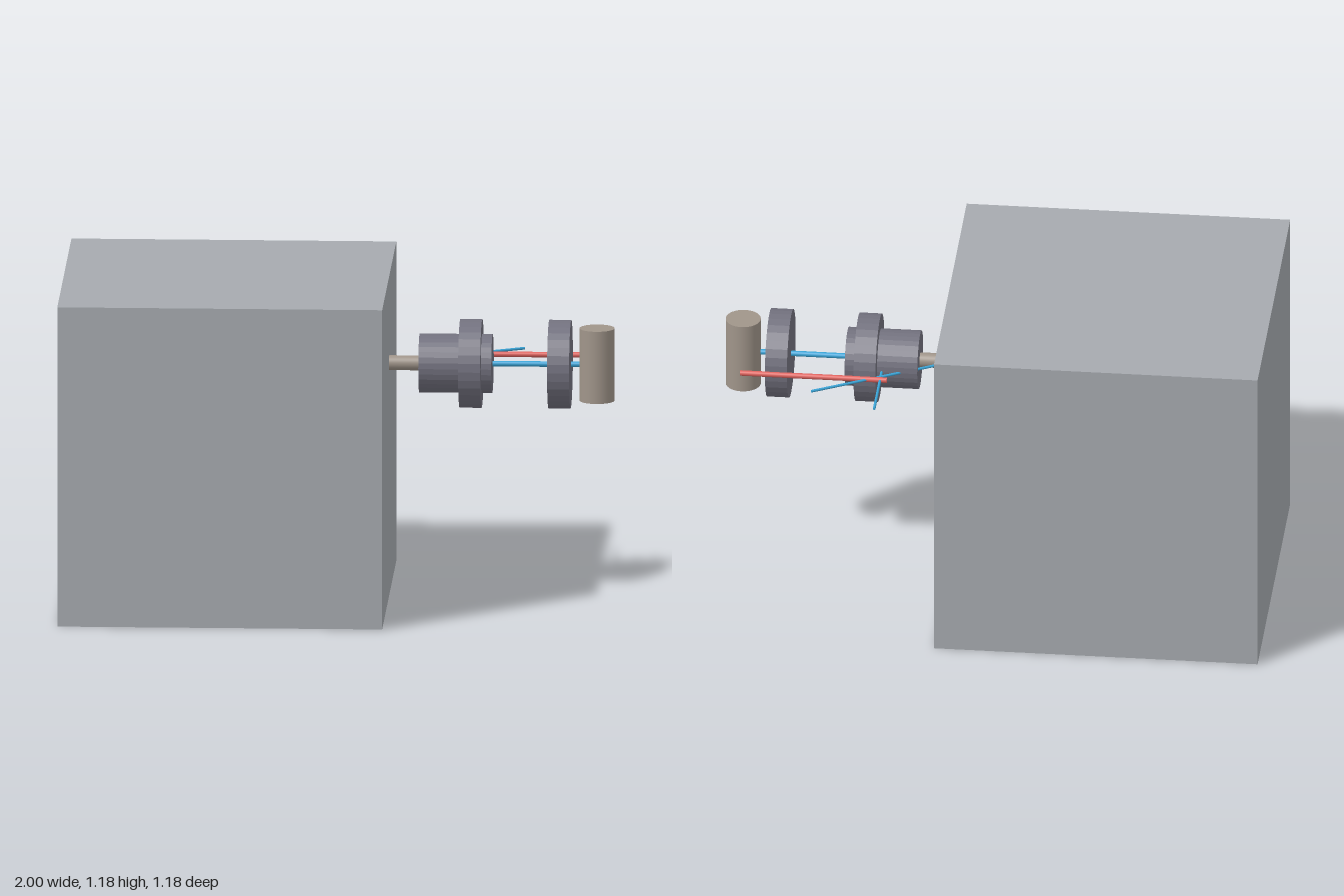
import * as THREE from 'three';

export function createModel() {
  const model = new THREE.Group();
  const mat = (name, color, flatShading = false) => {
    const m = new THREE.MeshStandardMaterial({ color, flatShading });
    m.name = name;
    return m;
  };
  const grey = mat('block grey', 0xa6aaaf);
  const taupe = mat('taupe', 0xa0958a);
  const slate = mat('slate', 0x73727f, true);
  const blue = mat('blue', 0x3aa5d8);
  const red = mat('red', 0xe0645f);

  const AXIS = 0.863; // height of the shaft line

  // Cylinder between two points
  const rod = (name, a, b, radius, material, sides = 32) => {
    const from = new THREE.Vector3(...a), to = new THREE.Vector3(...b);
    const dir = to.clone().sub(from);
    const mesh = new THREE.Mesh(
      new THREE.CylinderGeometry(radius, radius, dir.length(), sides), material);
    mesh.position.copy(from).add(to).multiplyScalar(0.5);
    mesh.quaternion.setFromUnitVectors(new THREE.Vector3(0, 1, 0), dir.normalize());
    mesh.name = name;
    model.add(mesh);
  };
  const along = (name, x0, x1, radius, material, z = 0) =>
    rod(name, [x0, AXIS, z], [x1, AXIS, z], radius, material);

  // Large block
  const block = new THREE.Mesh(new THREE.BoxGeometry(1.18, 1.185, 1.185), grey);
  block.position.set(-0.41, 0.5925, 0);
  block.name = 'block';
  model.add(block);

  // Parts along the shaft line
  along('stubShaft', 0.17, 0.3, 0.027, taupe);
  along('housing', 0.29, 0.555, 0.107, slate);
  along('housingFlange', 0.437, 0.517, 0.161, slate);
  along('driveRod', 0.54, 0.9, 0.01, blue);
  along('outerDisc', 0.76, 0.84, 0.161, slate);

  // Upright handle at the end
  rod('handle', [0.935, 0.73, 0], [0.935, 0.998, 0], 0.064, taupe);

  // Side rods behind the shaft
  along('sideRod', 0.395, 0.93, 0.01, red, -0.162);
  rod('diagonalRod', [0.2, AXIS, -0.02], [0.66, AXIS, -0.27], 0.005, blue, 16);
  rod('crossRod', [0.42, AXIS, -0.05], [0.42, AXIS, -0.376], 0.005, blue, 16);

  return model;
}
